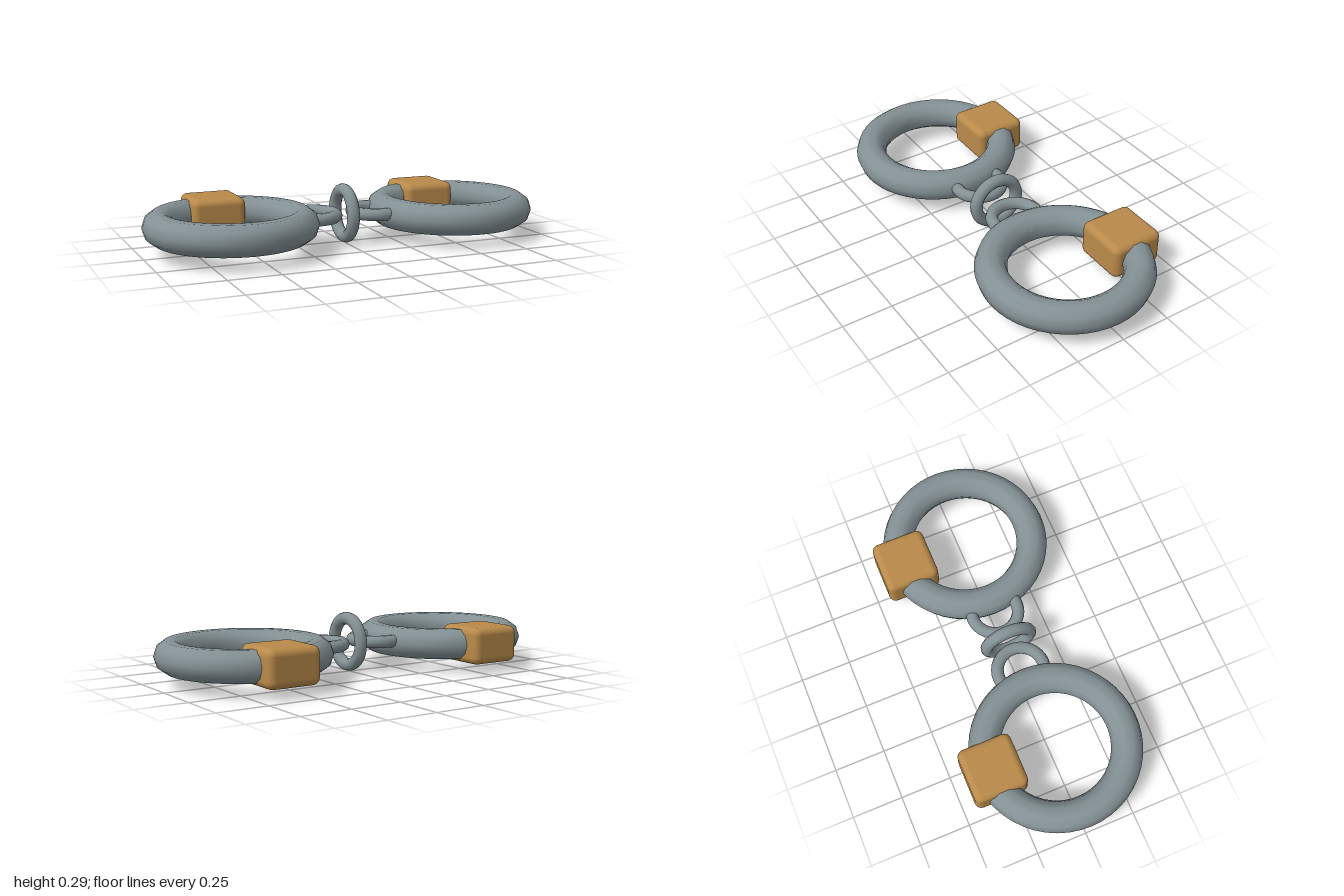
import * as THREE from 'three';
import { RoundedBoxGeometry } from 'three/addons/geometries/RoundedBoxGeometry.js';

export function createModel() {
  const model = new THREE.Group();
  model.name = 'shackles';
  const steel = new THREE.MeshStandardMaterial({ color: 0x849195 });
  const brass = new THREE.MeshStandardMaterial({ color: 0xb98a4a });
  const midZ = 0.02;

  function add(name, geometry, material, x, y, z) {
    const mesh = new THREE.Mesh(geometry, material);
    mesh.name = name;
    mesh.position.set(x, y, z);
    model.add(mesh);
    return mesh;
  }

  // Ring shapes: thick wrist cuffs and thin chain links
  const cuff = new THREE.TorusGeometry(0.342, 0.077, 10, 48);
  const link = new THREE.TorusGeometry(0.116, 0.031, 10, 32);
  const lock = new RoundedBoxGeometry(0.27, 0.18, 0.27, 4, 0.035);

  for (const [side, s] of [['left', 1], ['right', -1]]) {
    // Flat-lying cuff with its lock block at the back
    add(side + 'Cuff', cuff, steel, s * 0.581, 0.137, midZ).rotation.x = Math.PI / 2;
    add(side + 'Lock', lock, brass, s * 0.577, 0.135, -0.305);
    // Flat chain link, half sunk into the cuff
    add(side + 'Link', link, steel, s * 0.167, 0.148, midZ - 0.005).rotation.x = Math.PI / 2;
  }

  // Upright link joining the two sides
  add('middleLink', link, steel, 0, 0.148, midZ - 0.002).rotation.y = Math.PI / 2;

  return model;
}
